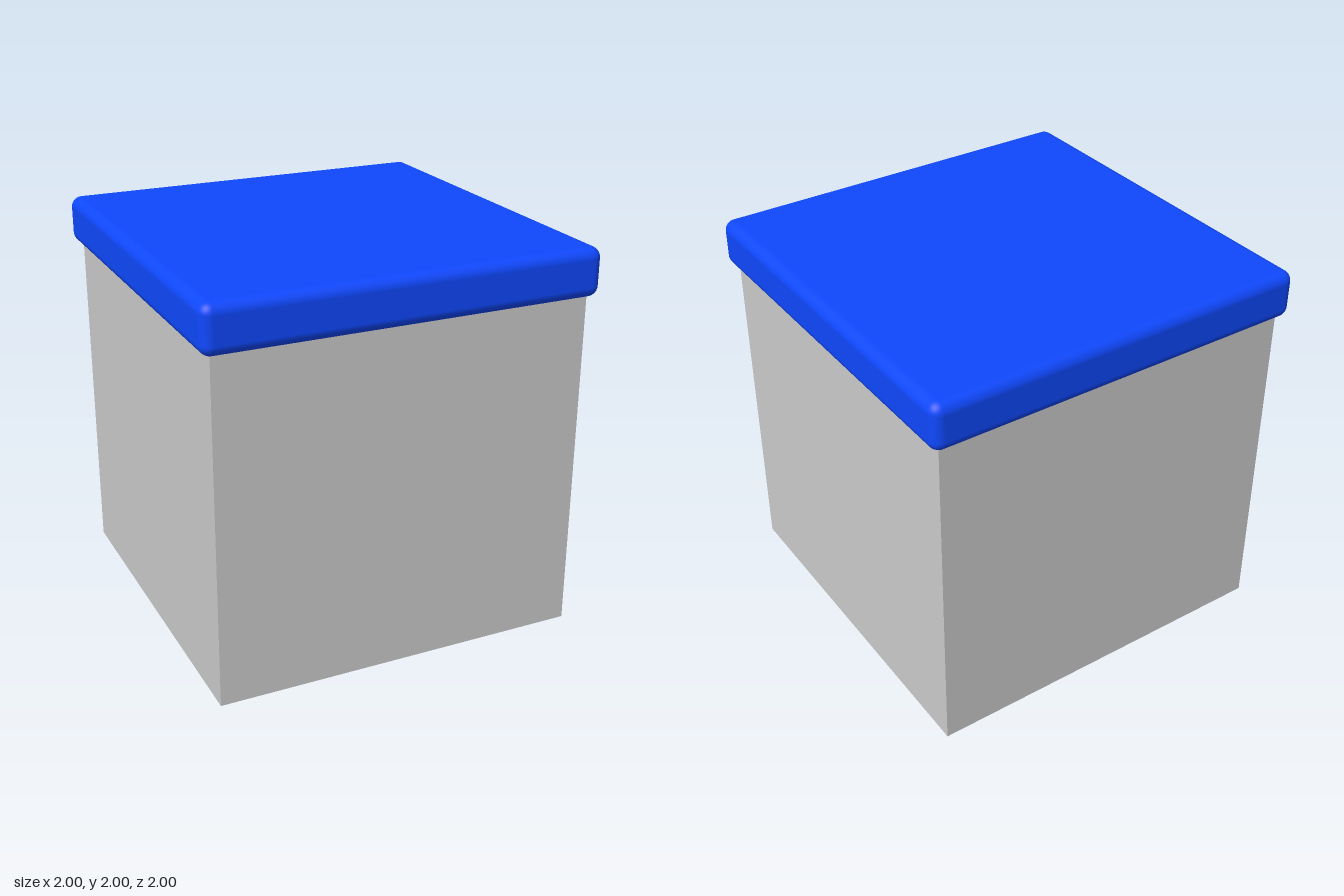
import * as THREE from 'three';
import { RoundedBoxGeometry } from 'three/addons/geometries/RoundedBoxGeometry.js';

export function createModel() {
  const group = new THREE.Group();
  group.name = 'cubeStool';

  const add = (name, geometry, color, y) => {
    const mesh = new THREE.Mesh(geometry, new THREE.MeshStandardMaterial({ color }));
    mesh.name = name;
    mesh.position.y = y;
    group.add(mesh);
  };

  // Square base, sharp edges
  const baseHeight = 1.76;
  add('base', new THREE.BoxGeometry(1.9, baseHeight, 1.9), 0xcccccc, baseHeight / 2);

  // Padded seat with softly rounded edges, overhanging the base
  const seatHeight = 0.245;
  add('seatCushion', new RoundedBoxGeometry(2, seatHeight, 2, 6, 0.055), 0x0f48fd, 2 - seatHeight / 2);

  return group;
}
